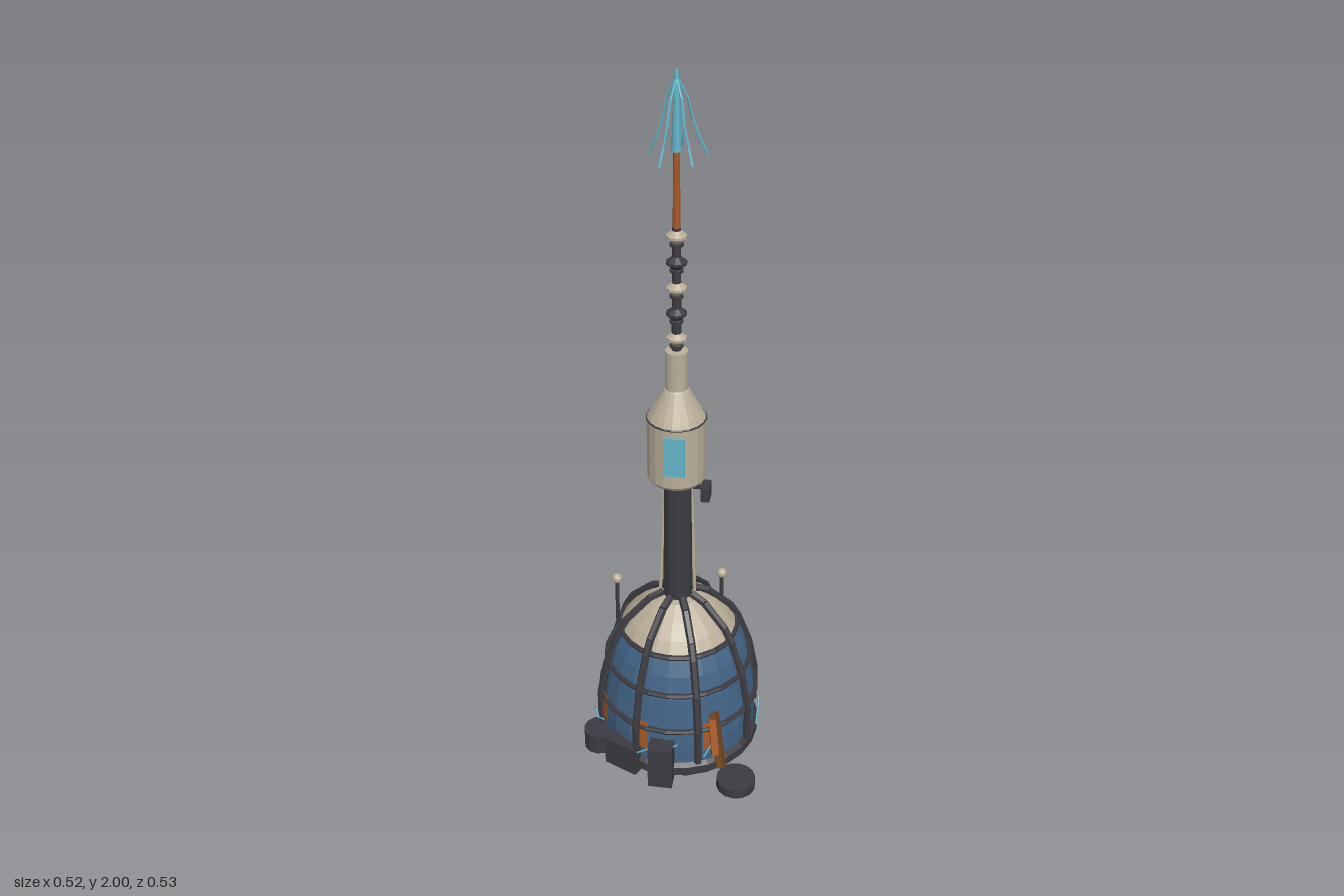
import * as THREE from 'three';

const mat = (name, color, extra = {}) => {
  const m = new THREE.MeshStandardMaterial({ color, flatShading: true, ...extra });
  m.name = name;
  return m;
};

export function createModel() {
  const cream = mat('cream', 0xb9ae98);
  const dark = mat('charcoal', 0x3b3b41);
  const blue = mat('steelBlue', 0x436587, { side: THREE.DoubleSide });
  const teal = mat('teal', 0x62b6cb);
  const rust = mat('rust', 0xa85a28, { side: THREE.DoubleSide });
  const brown = mat('brown', 0x6e4420);

  const model = new THREE.Group();
  model.name = 'capsuleTower';
  const tower = new THREE.Group();
  tower.name = 'tower';
  tower.position.set(0.002, 0, -0.02);
  model.add(tower);

  const V = (x, y, z) => new THREE.Vector3(x, y, z);
  const add = (name, geo, material, x = 0, y = 0, z = 0, parent = tower) => {
    const m = new THREE.Mesh(geo, material);
    m.name = name;
    m.position.set(x, y, z);
    parent.add(m);
    return m;
  };
  const lathe = (name, pts, material, sides = 24, parent = tower) =>
    add(name, new THREE.LatheGeometry(pts.map(p => new THREE.Vector2(...p)), sides), material, 0, 0, 0, parent);
  const rod = (name, a, b, r, material, parent = tower, sides = 6, r2 = r) => {
    const d = b.clone().sub(a);
    const m = add(name, new THREE.CylinderGeometry(r2, r, d.length(), sides), material, 0, 0, 0, parent);
    m.position.copy(a).add(b).multiplyScalar(0.5);
    m.quaternion.setFromUnitVectors(V(0, 1, 0), d.normalize());
    return m;
  };
  const chain = (name, pts, r, material, parent = tower, sides = 5) => {
    const g = new THREE.Group();
    g.name = name;
    parent.add(g);
    for (let i = 0; i + 1 < pts.length; i++) rod(name + 'Segment', pts[i], pts[i + 1], r, material, g, sides);
  };

  // Bell-shaped hull
  lathe('basePlate', [[0, 0.01], [0.23, 0.01], [0.237, 0.018], [0.237, 0.045], [0.225, 0.055], [0, 0.055]], dark);
  lathe('blueHull', [[0.224, 0.05], [0.226, 0.12], [0.222, 0.18], [0.208, 0.27], [0.19, 0.34], [0.166, 0.395]], blue);
  lathe('creamShoulder', [[0.166, 0.395], [0.142, 0.43], [0.105, 0.467], [0.062, 0.498], [0, 0.505]], cream);

  // Hoops and ribs of the cage
  for (const [r, y] of [[0.168, 0.393], [0.208, 0.288], [0.228, 0.173]]) {
    const hoop = add('hoop', new THREE.TorusGeometry(r, 0.008, 6, 24), dark, 0, y, 0);
    hoop.rotation.x = Math.PI / 2;
  }
  const ribProfile = [[0.045, 0.508], [0.085, 0.492], [0.152, 0.428], [0.176, 0.385], [0.212, 0.285], [0.233, 0.173], [0.233, 0.06]];
  for (let i = 0; i < 8; i++) {
    const a = (i + 0.5) * Math.PI / 4;
    chain('rib', ribProfile.map(([r, y]) => V(r * Math.cos(a), y, r * Math.sin(a))), 0.0115, dark, tower, 6);
  }

  // Column with cables and a side box
  add('column', new THREE.CylinderGeometry(0.039, 0.042, 0.4, 12), dark, -0.002, 0.695, 0);
  rod('cableLeft', V(0.046, 0.5, 0), V(0.034, 0.89, 0), 0.005, cream);
  rod('cableRight', V(-0.052, 0.5, 0.006), V(-0.036, 0.89, 0.006), 0.005, cream);
  add('sideBox', new THREE.BoxGeometry(0.024, 0.045, 0.045), dark, 0.075, 0.848, 0);
  add('sideBoxArm', new THREE.BoxGeometry(0.04, 0.01, 0.01), dark, 0.05, 0.86, 0);

  // Upper capsule, neck and window
  const spire = new THREE.Group();
  spire.name = 'spire';
  spire.position.x = -0.006;
  tower.add(spire);
  lathe('capsule', [[0, 0.887], [0.073, 0.887], [0.08, 0.897], [0.08, 1.075], [0.072, 1.09], [0.033, 1.16],
    [0.03, 1.163], [0.03, 1.272], [0, 1.275]], cream, 20, spire);
  const seam = add('capsuleSeam', new THREE.TorusGeometry(0.079, 0.003, 5, 20), dark, 0, 1.075, 0, spire);
  seam.rotation.x = Math.PI / 2;
  add('window', new THREE.BoxGeometry(0.057, 0.115, 0.009), teal, 0.006, 0.996, 0.08, spire);

  // Mast with insulators, rusty rod and glowing tip
  rod('mast', V(0, 1.27, 0), V(0, 1.61, 0), 0.013, dark, spire, 8, 0.011);
  for (let i = 0; i < 5; i++) {
    const y = 1.307 + i * 0.07;
    lathe('insulator', [[0.011, y - 0.018], [0.018, y - 0.01], [0.027, y - 0.003], [0.027, y + 0.004],
      [0.016, y + 0.012], [0.011, y + 0.016]], i % 2 ? dark : cream, 10, spire);
    lathe('insulatorCollar', [[0.011, y - 0.028], [0.018, y - 0.025], [0.018, y - 0.018], [0.011, y - 0.015]], dark, 8, spire);
  }
  rod('rustyRod', V(0, 1.6, 0), V(0, 1.815, 0), 0.01, rust, spire, 8, 0.008);
  rod('tip', V(0, 1.805, 0), V(0, 2, 0), 0.013, teal, spire, 8, 0.005);
  for (const [x, z] of [[0.002, -0.082], [0.073, 0.028 - 0.055], [0.048, 0.062], [-0.03, 0.078], [-0.07, -0.022]]) {
    chain('tipWire', [V(0, 1.985, 0), V(x * 0.35, 1.935, z * 0.35), V(x * 0.5, 1.88, z * 0.6),
      V(x * 0.75, 1.83, z * 0.72), V(x, 1.79, z)], 0.0032, teal, spire);
  }

  // Two beacons on the hull
  for (const [x, z, y0, y1] of [[-0.183, -0.025, 0.3, 0.507], [0.117, -0.047, 0.42, 0.545]]) {
    rod('beaconPost', V(x, y0, z), V(x, y1, z), 0.006, dark);
    add('beaconBall', new THREE.IcosahedronGeometry(0.015, 1), cream, x, y1, z);
  }

  // Rust patches following the hull
  for (const [a, w] of [[-1.05, 0.2], [-0.34, 0.2], [0.55, 0.18]]) {
    const patch = [[0.232, 0.1], [0.231, 0.13], [0.228, 0.195]].map(p => new THREE.Vector2(...p));
    add('rustPatch', new THREE.LatheGeometry(patch, 3, a - w / 2, w), rust);
  }

  // Equipment at the foot, in model coordinates
  add('footDrum', new THREE.CylinderGeometry(0.046, 0.046, 0.062, 12), dark, -0.215, 0.033, 0.1, model);
  add('footPad', new THREE.CylinderGeometry(0.056, 0.056, 0.03, 14), dark, 0.204, 0.018, 0.21, model);
  add('frontCabinet', new THREE.BoxGeometry(0.069, 0.138, 0.06), dark, -0.01, 0.07, 0.222, model);
  const crate = add('angledCrate', new THREE.BoxGeometry(0.105, 0.09, 0.05), dark, -0.125, 0.047, 0.172, model);
  crate.rotation.y = -0.42;
  rod('strut', V(0.128, 0.215, 0.15), V(0.158, 0.05, 0.192), 0.016, brown, model, 5);
  rod('strutPlate', V(0.126, 0.2, 0.166), V(0.14, 0.09, 0.188), 0.014, rust, model, 4);

  // Thin sparks around the hull: angle from +x towards +z, span, radius, height
  for (const [a, span, r, y] of [[-2.42, 0.6, 0.257, 0.1], [-1.45, 0.64, 0.242, 0.1], [2.72, 0.5, 0.25, 0.1],
    [1.68, 0.5, 0.243, 0.11], [1.0, 0.22, 0.24, 0.11], [0.02, 0.22, 0.239, 0.09], [-0.72, 0.12, 0.243, 0.11]]) {
    const pts = [-0.5, -0.2, 0.05, 0.5].map((t, i) =>
      V(r * Math.cos(a + t * span), y + [0.03, 0.005, 0.012, -0.028][i], r * Math.sin(a + t * span)));
    chain('spark', pts, 0.0028, teal);
  }
  return model;
}
